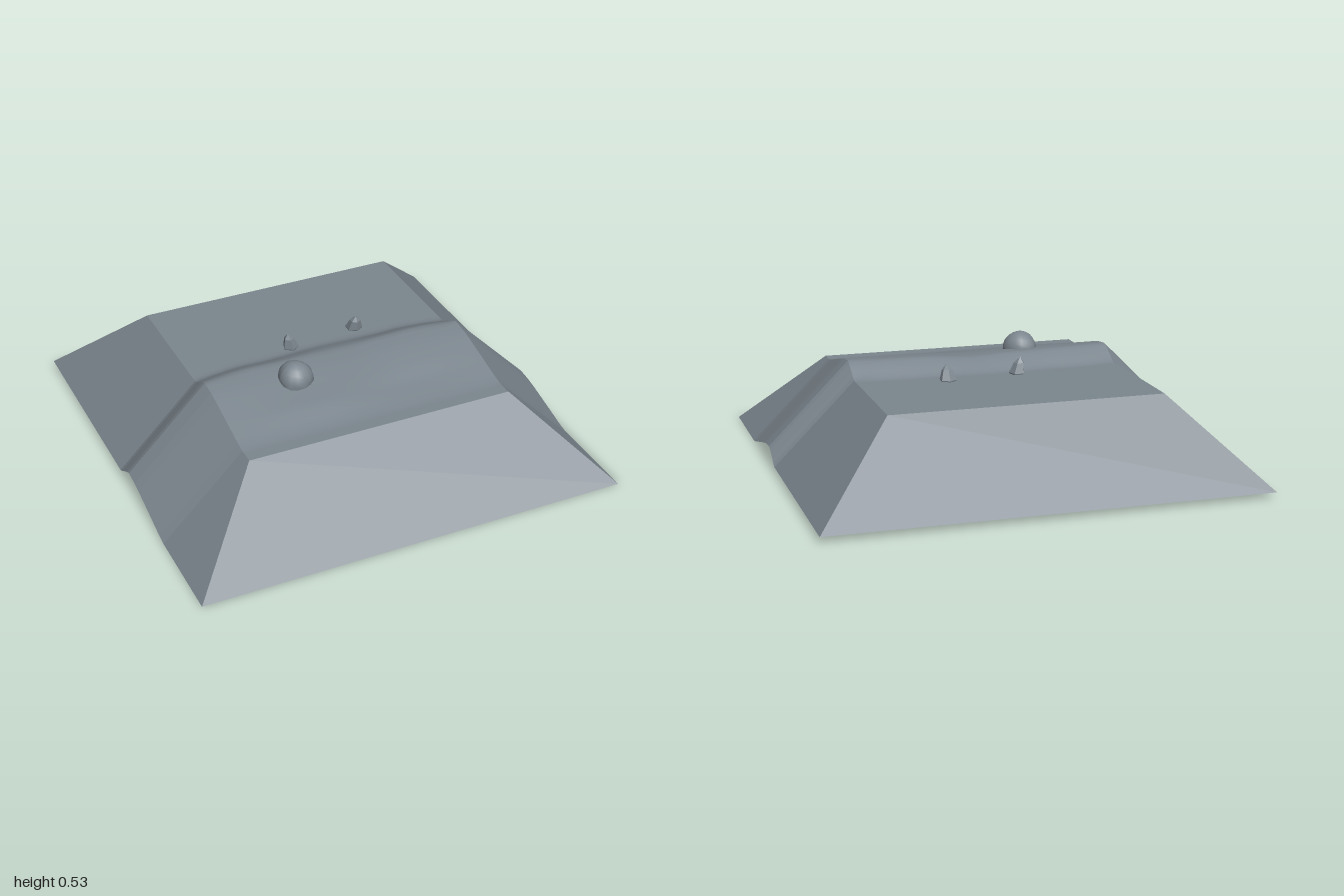
import * as THREE from 'three';

// Cross-section of the ground along z: [z, y]
const PROFILE = [
  [0.625, 0.375], [0.55, 0.375], [0.5, 0.384], [0.375, 0.416], [0.25, 0.447], [0.2, 0.457],
  [0.125, 0.465], [0.1, 0.456], [0.05, 0.427], [0.025, 0.411], [0, 0.4], [-0.625, 0.4],
];
const INNER = 0.625, OUTER = 1, DROP = 0.375;

function profileAt(z) {
  for (let i = 1; i < PROFILE.length; i++) {
    const [z0, y0] = PROFILE[i - 1], [z1, y1] = PROFILE[i];
    if (z >= z1 - 1e-6) return y0 + (y1 - y0) * (z0 - z) / (z0 - z1);
  }
  return 0.4;
}

// Ridge whose feet and crest wander between the two straight edges
function groundAt(x, z) {
  const bell = Math.max(0, 1 - (x / INNER) ** 2);
  const spread = Math.min(1, bell * 1.6) * (0.037 + 0.006 * Math.cos(x * 11));
  const back = Math.max(0, Math.min(1, 1 - (z - 0.02) / 0.3));
  let y = profileAt(z > -0.1 ? z + spread * back : z);
  const rise = Math.max(0, y - 0.4) / 0.065;
  y -= rise * bell * (0.013 * Math.exp(-((x - 0.05) ** 2) / 0.03) + 0.005 * Math.exp(-((x + 0.25) ** 2) / 0.02));
  // slightly fuller front slope, thinning out to one side
  const slope = Math.exp(-((z - 0.42) ** 2) / 0.008) * Math.max(0, 1 - Math.abs(z - 0.4) / 0.2);
  return y + slope * bell * 0.009 * Math.cos((x + 0.3) * 5);
}

function groundTop() {
  const geo = new THREE.PlaneGeometry(2 * INNER, 2 * INNER, 40, 50).rotateX(-Math.PI / 2);
  const p = geo.attributes.position;
  for (let i = 0; i < p.count; i++) p.setY(i, groundAt(p.getX(i), p.getZ(i)));
  geo.computeVertexNormals();
  return geo;
}

// Sloping skirt: a loop of flat faces from the top's rim down and outwards
function skirtGeometry() {
  const right = PROFILE.map(([z, y]) => [INNER, y, z]);
  const left = PROFILE.map(([z, y]) => [-INNER, y, z]).reverse();
  const rim = [...right, ...left];
  const foot = rim.map(([x, y, z]) => [
    Math.sign(x) * OUTER, y - DROP, Math.abs(z) === INNER ? Math.sign(z) * OUTER : z,
  ]);
  const pos = [];
  rim.forEach((a, i) => {
    const j = (i + 1) % rim.length;
    pos.push(...a, ...foot[i], ...foot[j], ...a, ...foot[j], ...rim[j]);
  });
  const geo = new THREE.BufferGeometry();
  geo.setAttribute('position', new THREE.Float32BufferAttribute(pos, 3));
  geo.computeVertexNormals();
  return geo;
}

// Hollow rounded rock with an uneven lower rim
function boulderGeometry() {
  const geo = new THREE.SphereGeometry(1, 14, 8, 0, Math.PI * 2, 0, Math.PI * 0.58);
  const p = geo.attributes.position;
  for (let i = 0; i < p.count; i++) {
    const x = p.getX(i), y = p.getY(i), z = p.getZ(i);
    const a = Math.atan2(z, x);
    const k = 1 + 0.05 * Math.sin(a * 3 + 1) * Math.hypot(x, z);
    const wave = y < 0.2 ? 0.008 * Math.cos(a * 7) : 0;
    p.setXYZ(i, x * 0.08 * k, y * 0.083 + wave, z * 0.083 * k);
  }
  geo.computeVertexNormals();
  return geo;
}

// Small faceted stone with a leaning tip
function shardGeometry(radius, height, leanX, leanZ, sides) {
  const outline = [[0, -0.03], [0.7, -0.03], [1, 0.005], [0.62, height * 0.65], [0, height]]
    .map(([r, y]) => new THREE.Vector2(r * radius, y));
  const geo = new THREE.LatheGeometry(outline, sides).toNonIndexed();
  const p = geo.attributes.position;
  for (let i = 0; i < p.count; i++) {
    const t = Math.max(0, p.getY(i)) / height;
    p.setX(i, p.getX(i) + leanX * t);
    p.setZ(i, p.getZ(i) + leanZ * t);
  }
  geo.computeVertexNormals();
  return geo;
}

export function createModel() {
  const group = new THREE.Group();
  const stone = new THREE.MeshStandardMaterial({ color: 0x7c868e, side: THREE.DoubleSide });
  stone.name = 'slate grey';

  const add = (name, geo, x = 0, y = 0, z = 0) => {
    const mesh = new THREE.Mesh(geo, stone);
    mesh.name = name;
    mesh.position.set(x, y, z);
    group.add(mesh);
  };

  add('groundTop', groundTop());
  add('groundSkirt', skirtGeometry());
  add('boulder', boulderGeometry(), -0.235, 0.443, 0.225);
  add('tallShard', shardGeometry(0.038, 0.078, -0.016, 0.004, 5), -0.12, 0.4, -0.085);
  add('shortShard', shardGeometry(0.04, 0.073, 0, 0.025, 6), 0.218, 0.4, -0.122);
  return group;
}
